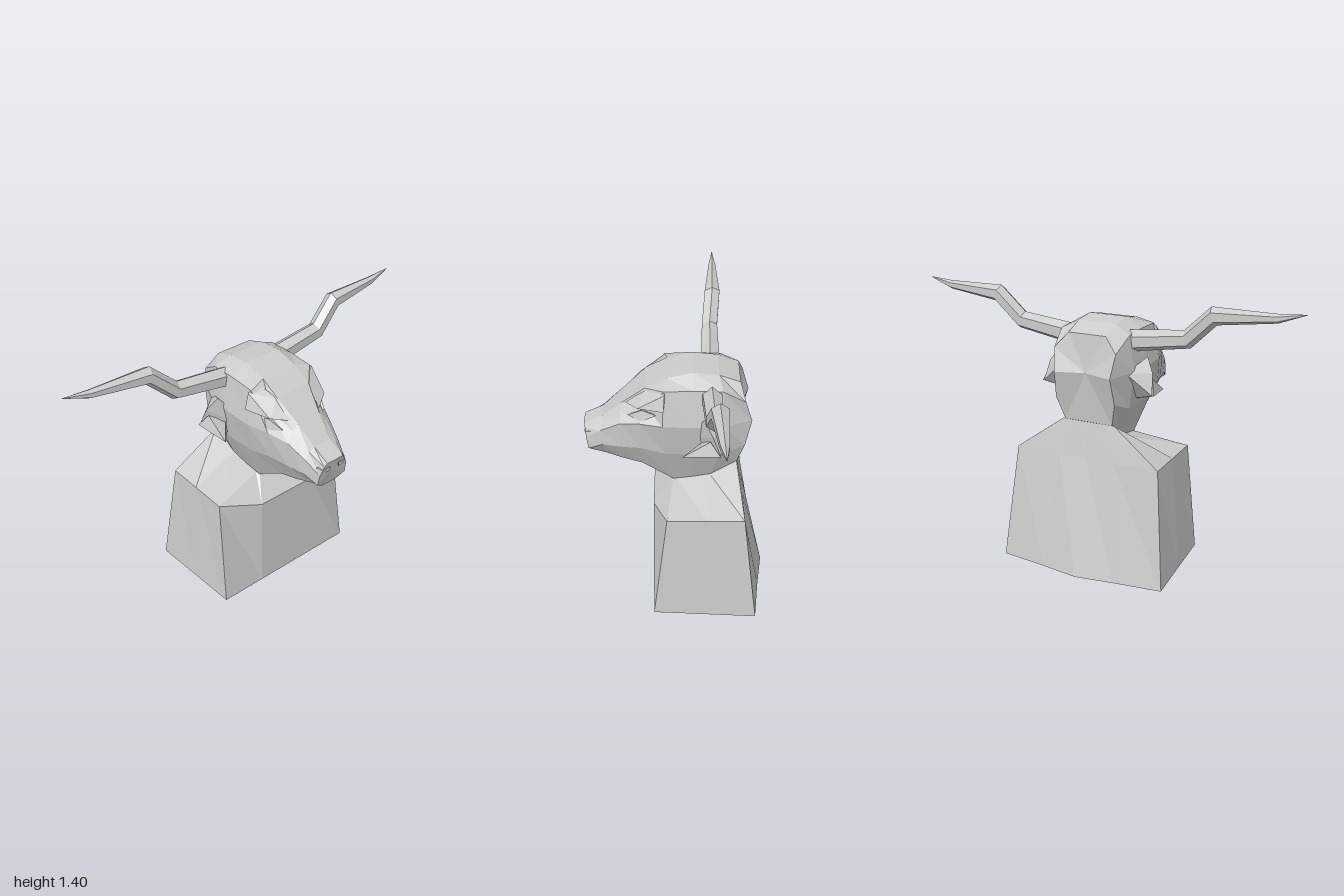
import * as THREE from 'three';
import { ConvexGeometry } from 'three/addons/geometries/ConvexGeometry.js';

const MID = -0.025; // z of the symmetry plane
const material = new THREE.MeshStandardMaterial({ color: 0xcccccc, flatShading: true });

// Skin closed rings of [x, y, z] points, cap both ends and face outwards
function loft(rings) {
  const tris = [];
  const n = rings[0].length;
  for (let r = 0; r < rings.length - 1; r++) {
    for (let i = 0; i < n; i++) {
      const j = (i + 1) % n;
      const [a, b, c, d] = [rings[r][i], rings[r][j], rings[r + 1][j], rings[r + 1][i]];
      tris.push([a, b, c], [a, c, d]);
    }
  }
  const cap = (ring, flip) => {
    const centre = [0, 1, 2].map(k => ring.reduce((s, p) => s + p[k], 0) / n);
    ring.forEach((p, i) => {
      const q = ring[(i + 1) % n];
      tris.push(flip ? [centre, q, p] : [centre, p, q]);
    });
  };
  cap(rings[0], true);
  cap(rings[rings.length - 1], false);
  let volume = 0;
  const vec = p => new THREE.Vector3(...p);
  for (const [a, b, c] of tris) volume += vec(a).dot(vec(b).cross(vec(c)));
  const ordered = volume < 0 ? tris.map(([a, b, c]) => [a, c, b]) : tris;
  const g = new THREE.BufferGeometry();
  g.setAttribute('position', new THREE.Float32BufferAttribute(ordered.flat(2), 3));
  g.computeVertexNormals();
  return g;
}

// Complete a half ring of [x, y, halfWidth] across the symmetry plane
function mirrorRing(half) {
  const left = half.map(([x, y, h]) => [x, y, MID + h]);
  const right = half.filter(p => p[2] > 0).reverse().map(([x, y, h]) => [x, y, MID - h]);
  return left.concat(right);
}

function add(group, name, geometry) {
  const mesh = new THREE.Mesh(geometry, material);
  mesh.name = name;
  group.add(mesh);
}

function hull(points, side) {
  return new ConvexGeometry(points.map(([x, y, h]) => new THREE.Vector3(x, y, MID + side * h)));
}

// Tapered six-sided horn along stations [x, y, z, radius]
function horn(side) {
  const path = [
    [-0.165, 1.175, 0.12, 0.055], [-0.17, 1.222, 0.45, 0.046], [-0.185, 1.35, 0.58, 0.045],
    [-0.193, 1.37, 0.87, 0.022], [-0.195, 1.4, 1, 0.001],
  ];
  return loft(path.map(([x, y, z, r], i) => {
    const a = path[Math.max(i - 1, 0)], b = path[Math.min(i + 1, path.length - 1)];
    const angle = Math.atan2(b[1] - a[1], b[2] - a[2]);
    return Array.from({ length: 6 }, (_, k) => {
      const t = (k + 0.5) * Math.PI / 3;
      const u = r * Math.sin(t);
      return [x + r * Math.cos(t), y + u * Math.cos(angle),
        side * (z - u * Math.sin(angle)) + MID * (1 - z)];
    });
  }));
}

export function createModel() {
  const model = new THREE.Group();
  model.name = 'hornedBust';

  // Tapered plinth, sloping shoulders and neck
  add(model, 'plinthAndNeck', loft([
    [[0.12, 0, 0.17], [0.12, 0, 0.42], [-0.15, 0, 0.435], [-0.41, 0, 0.45], [-0.44, 0, 0.2], [-0.47, 0, 0]],
    [[0.12, 0.54, 0.17], [0.05, 0.6, 0.39], [-0.15, 0.6, 0.39], [-0.335, 0.6, 0.39], [-0.335, 0.6, 0.15], [-0.335, 0.6, 0]],
    [[0.02, 0.645, 0.1], [0, 0.65, 0.11], [-0.17, 0.69, 0.13], [-0.3, 0.78, 0.14], [-0.302, 0.78, 0.07], [-0.302, 0.78, 0]],
  ].map(mirrorRing)));

  // Head sections from the nape to the nose, each from crown to chin
  add(model, 'head', loft([
    [[-0.305, 1.225, 0], [-0.305, 1.225, 0.1], [-0.33, 1.15, 0.165], [-0.365, 1.035, 0.15], [-0.335, 0.9, 0.16], [-0.3, 0.78, 0.13]],
    [[-0.2, 1.262, 0], [-0.2, 1.262, 0.1], [-0.22, 1.22, 0.185], [-0.22, 1.04, 0.21], [-0.21, 0.85, 0.18], [-0.17, 0.69, 0.12]],
    [[-0.08, 1.275, 0], [-0.08, 1.275, 0.1], [-0.08, 1.225, 0.185], [-0.08, 1.04, 0.22], [-0.08, 0.86, 0.19], [-0.08, 0.67, 0.115]],
    [[0.05, 1.245, 0], [0.05, 1.245, 0.1], [0.065, 1.22, 0.185], [0.07, 1.04, 0.215], [0.06, 0.86, 0.18], [0.01, 0.64, 0.1]],
    [[0.155, 1.19, 0], [0.155, 1.19, 0.1], [0.16, 1.12, 0.135], [0.18, 1.035, 0.18], [0.18, 0.88, 0.16], [0.18, 0.745, 0.095]],
    [[0.27, 1.09, 0], [0.27, 1.09, 0.07], [0.275, 1.06, 0.1], [0.28, 1.01, 0.14], [0.28, 0.87, 0.135], [0.28, 0.765, 0.08]],
    [[0.37, 1.0, 0], [0.37, 1.0, 0.05], [0.37, 0.985, 0.085], [0.38, 0.95, 0.11], [0.37, 0.87, 0.115], [0.36, 0.782, 0.06]],
    [[0.467, 0.955, 0], [0.465, 0.955, 0.05], [0.46, 0.935, 0.065], [0.455, 0.89, 0.085], [0.445, 0.83, 0.09], [0.43, 0.795, 0.04]],
  ].map(mirrorRing)));

  for (const [label, side] of [['left', 1], ['right', -1]]) {
    add(model, label + 'Horn', horn(side));

    // Drooping ear: a broad root fold and a pointed tip sweeping forward
    add(model, label + 'EarRoot', hull([
      [-0.255, 1.04, 0.18], [-0.11, 1.04, 0.19], [-0.13, 1.1, 0.24], [-0.17, 1.03, 0.285],
      [-0.21, 0.93, 0.3], [-0.14, 0.88, 0.17], [-0.1, 0.96, 0.19],
    ], side));
    add(model, label + 'EarTip', hull([
      [-0.21, 0.93, 0.31], [-0.16, 1.0, 0.28], [-0.13, 0.95, 0.2],
      [-0.14, 0.88, 0.18], [-0.025, 0.91, 0.28],
    ], side));

    // Brow ridge overhanging the sunken eye
    add(model, label + 'Brow', hull([
      [0.05, 1.23, 0.13], [0.06, 1.21, 0.2], [0.065, 1.13, 0.225], [0.15, 1.185, 0.1],
      [0.19, 1.12, 0.175], [0.25, 1.1, 0.085],
    ], side));
    add(model, label + 'Eye', hull([
      [0.1, 1.09, 0.19], [0.17, 1.105, 0.165], [0.24, 1.06, 0.135],
      [0.17, 1.05, 0.18], [0.16, 1.08, 0.1],
    ], side));

    // Nostril wing on the muzzle
    add(model, label + 'Nostril', hull([
      [0.464, 0.925, 0.025], [0.462, 0.92, 0.072], [0.43, 0.93, 0.09],
      [0.45, 0.89, 0.088], [0.462, 0.9, 0.03], [0.44, 0.9, 0.04],
    ], side));
  }
  return model;
}
